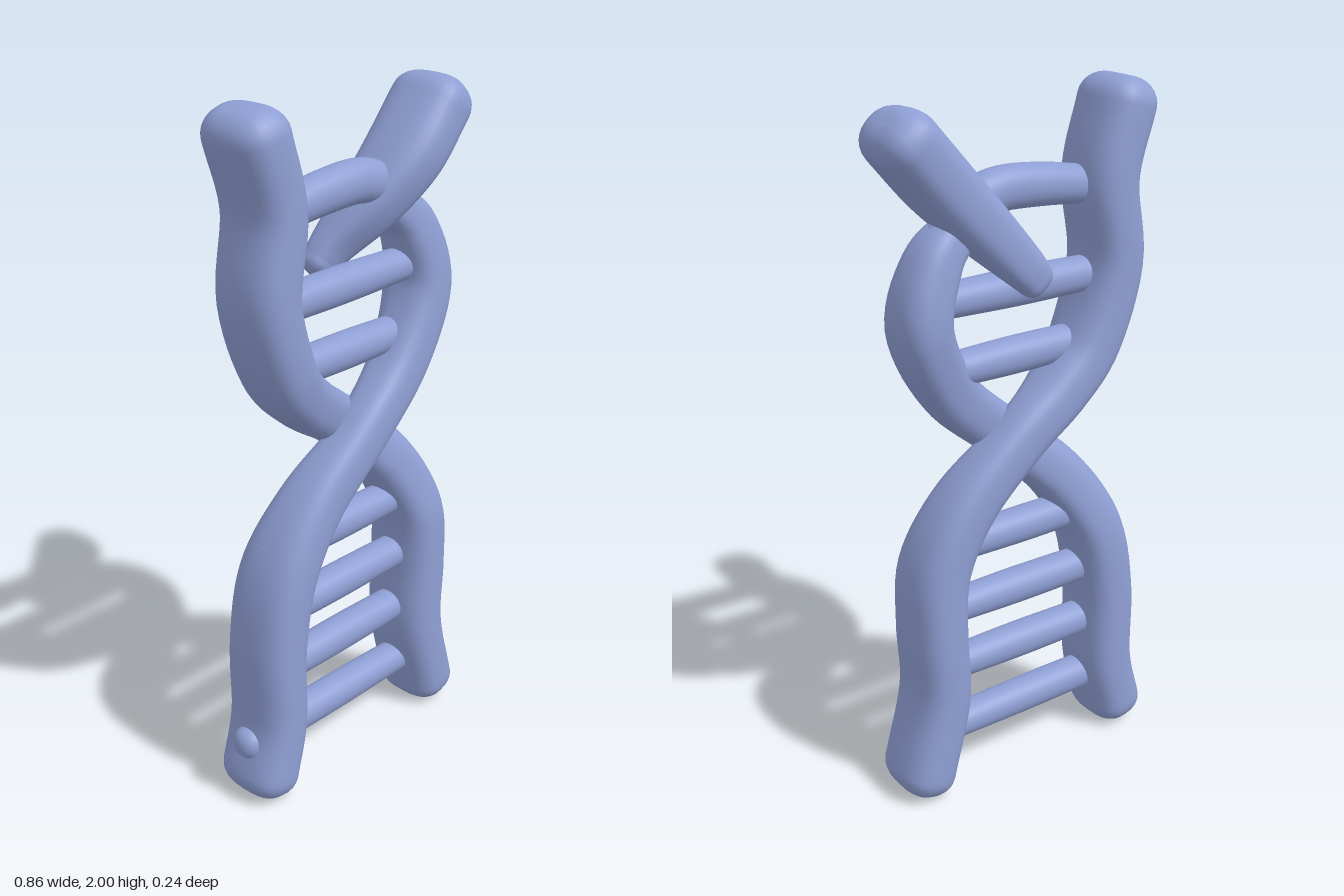
import * as THREE from 'three';

const blue = new THREE.MeshStandardMaterial({ color: 0x8f9fd4 });
blue.name = 'periwinkle blue';

const spow = (v, e) => Math.sign(v) * Math.pow(Math.abs(v), e);

// Rounded bar swept along points [x, y, z, halfWidth, halfDepth]; depth always lies along z.
// Both ends are closed with rounded caps of radius capA and capB.
function sweep(name, pts, { power = 2.7, capA = 0.07, capB = 0.07, steps = 64, sides = 32 } = {}) {
  const path = new THREE.CatmullRomCurve3(pts.map(p => new THREE.Vector3(p[0], p[1], p[2])), false, 'catmullrom', 0.5);
  const size = new THREE.CatmullRomCurve3(pts.map(p => new THREE.Vector3(p[3], p[4], 0)), false, 'catmullrom', 0.5);
  const rings = [];
  const CAP = 7;
  for (let i = 0; i < CAP; i++) rings.push([0, (1 - i / CAP) * Math.PI / 2, -capA]);
  for (let i = 0; i <= steps; i++) rings.push([i / steps, 0, 0]);
  for (let i = 1; i <= CAP; i++) rings.push([1, (i / CAP) * Math.PI / 2, capB]);

  const pos = [], idx = [];
  rings.forEach(([t, angle, cap]) => {
    const c = path.getPoint(t), s = size.getPoint(t);
    const tan = path.getTangent(t).setZ(0).normalize();
    c.addScaledVector(tan, cap * Math.sin(angle));
    const inset = Math.abs(cap) * (1 - Math.cos(angle));
    const w = Math.max(s.x - inset, 0.002), d = Math.max(s.y - inset, 0.002);
    for (let j = 0; j < sides; j++) {
      const a = (j / sides) * Math.PI * 2;
      const u = w * spow(Math.cos(a), 2 / power), v = d * spow(Math.sin(a), 2 / power);
      pos.push(c.x - tan.y * u, c.y + tan.x * u, c.z + v);
    }
  });
  for (let i = 0; i < rings.length - 1; i++) {
    for (let j = 0; j < sides; j++) {
      const k = (j + 1) % sides, a = i * sides, b = a + sides;
      idx.push(a + j, a + k, b + j, a + k, b + k, b + j);
    }
  }
  // Close the small flat left at each tip
  const last = (rings.length - 1) * sides;
  for (let j = 1; j < sides - 1; j++) {
    idx.push(0, j + 1, j, last, last + j, last + j + 1);
  }
  const geo = new THREE.BufferGeometry();
  geo.setAttribute('position', new THREE.Float32BufferAttribute(pos, 3));
  geo.setIndex(idx);
  geo.computeVertexNormals();
  const mesh = new THREE.Mesh(geo, blue);
  mesh.name = name;
  return mesh;
}

export function createModel() {
  const model = new THREE.Group();
  model.name = 'doubleHelix';

  // Strand passing in front at the crossing, lower right side to upper left side
  model.add(sweep('frontStrand', [
    [-0.35, 0.075, 0, 0.085, 0.115],
    [-0.312, 0.24, 0, 0.083, 0.115],
    [-0.308, 0.48, 0, 0.083, 0.115],
    [-0.265, 0.7, 0.005, 0.083, 0.112],
    [-0.155, 0.88, 0.025, 0.08, 0.09],
    [0.02, 1.04, 0.048, 0.075, 0.07],
    [0.195, 1.2, 0.03, 0.077, 0.08],
    [0.3, 1.4, 0.005, 0.077, 0.096],
    [0.262, 1.57, 0, 0.07, 0.08],
    [0.18, 1.66, 0, 0.055, 0.055],
  ], { capB: 0.045 }));

  // Strand passing behind at the crossing
  model.add(sweep('backStrand', [
    [-0.338, 1.927, 0, 0.086, 0.115],
    [-0.286, 1.73, 0, 0.084, 0.115],
    [-0.31, 1.5, 0, 0.083, 0.115],
    [-0.24, 1.28, -0.005, 0.083, 0.108],
    [-0.13, 1.16, -0.025, 0.08, 0.09],
    [0.02, 1.05, -0.045, 0.075, 0.072],
    [0.185, 0.89, -0.022, 0.08, 0.093],
    [0.275, 0.71, 0, 0.083, 0.112],
    [0.29, 0.52, 0, 0.083, 0.115],
    [0.285, 0.31, 0, 0.083, 0.115],
    [0.342, 0.075, 0, 0.085, 0.115],
  ]));

  // Short tapered strand end at the upper left, slanting down to the back
  model.add(sweep('upperStrandEnd', [
    [0.345, 1.9, 0, 0.085, 0.115],
    [0.23, 1.77, 0, 0.085, 0.112],
    [0.12, 1.65, -0.028, 0.075, 0.09],
    [0.03, 1.55, -0.07, 0.06, 0.055],
    [-0.005, 1.51, -0.08, 0.052, 0.043],
  ], { capB: 0.041 }));

  // Straight rungs: [left x, left y, right x, right y]
  const rungs = new THREE.Group();
  rungs.name = 'rungs';
  [
    [-0.39, 0.187, 0.28, 0.178],
    [-0.28, 0.38, 0.26, 0.38],
    [-0.28, 0.565, 0.26, 0.565],
    [-0.28, 0.76, 0.24, 0.757],
    [-0.22, 1.28, 0.24, 1.276],
    [-0.28, 1.468, 0.25, 1.47],
  ].forEach(([x0, y0, x1, y1], i) => {
    rungs.add(sweep('rung' + (i + 1), [
      [x0, y0, 0, 0.049, 0.05],
      [(x0 + x1) / 2, (y0 + y1) / 2, 0, 0.052, 0.052],
      [x1, y1, 0, 0.046, 0.05],
    ], { power: 2.1, capA: 0.042, capB: 0.042, steps: 12 }));
  });

  // Arched top rung running into the front strand
  rungs.add(sweep('topRung', [
    [-0.24, 1.715, 0.003, 0.052, 0.052],
    [-0.08, 1.735, 0.003, 0.058, 0.054],
    [0.06, 1.738, 0.003, 0.06, 0.054],
    [0.15, 1.7, 0.003, 0.06, 0.055],
    [0.22, 1.63, 0.003, 0.058, 0.056],
  ], { power: 2.1, capA: 0.04, capB: 0.04, steps: 24 }));
  model.add(rungs);

  return model;
}
